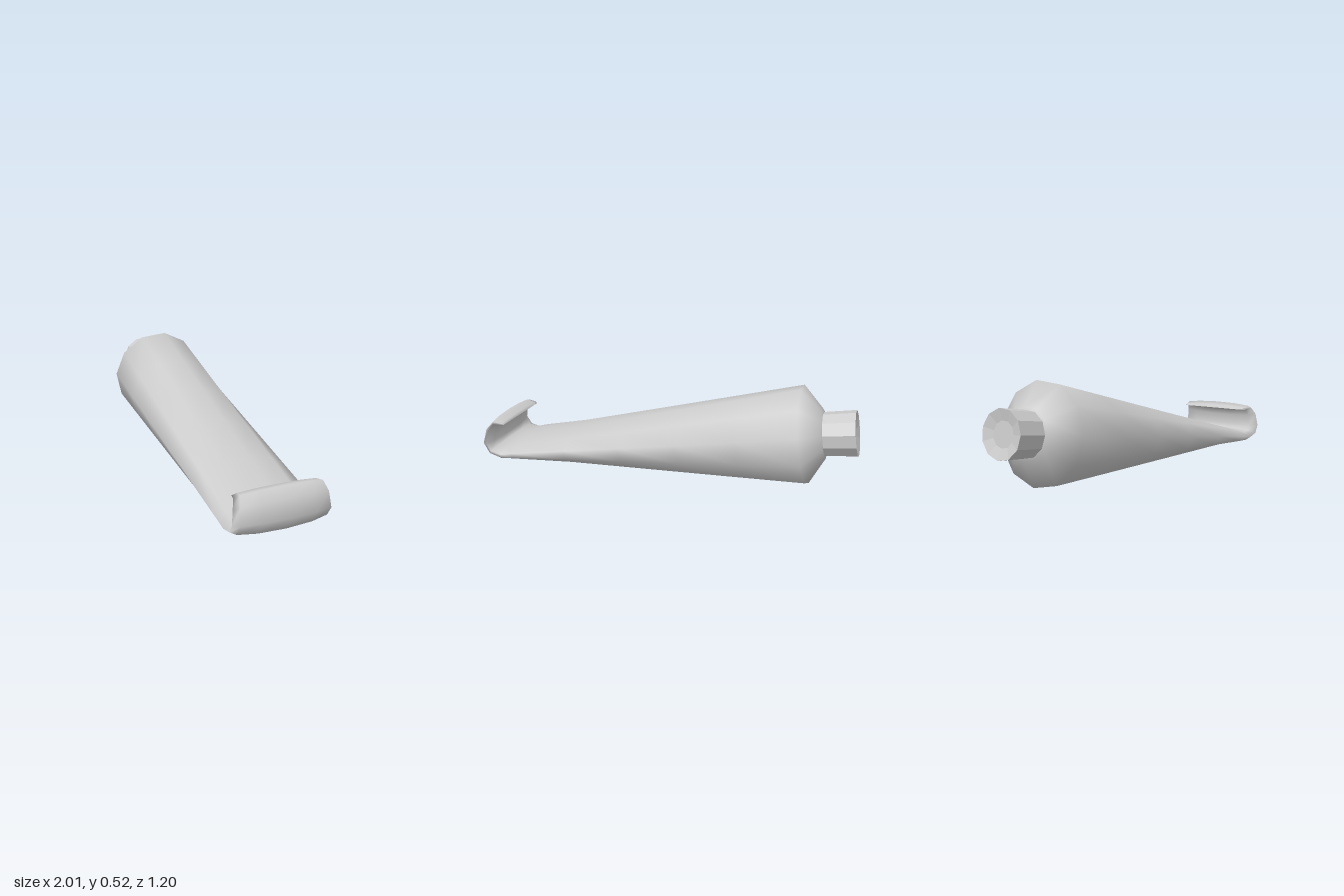
import * as THREE from 'three';

const SIDES = 11;
const TILT = -0.13;      // the tube's axis slopes gently down towards its tail
const PHASE = 0.2;       // turn of the polygonal section

// Lofts elliptical rings along x. Each ring: [x, y, path angle, half thickness, half width]
function loft(name, rings, flatShading) {
  const pos = [], index = [];
  for (const [x, y, a, h, w] of rings) {
    for (let k = 0; k < SIDES; k++) {
      const t = PHASE + (k / SIDES) * Math.PI * 2;
      const up = h * Math.cos(t);
      pos.push(x - up * Math.sin(a), y + up * Math.cos(a), -0.033 - w * Math.sin(t));
    }
  }
  for (let i = 0; i < rings.length - 1; i++) {
    for (let k = 0; k < SIDES; k++) {
      const a = i * SIDES + k, b = i * SIDES + (k + 1) % SIDES;
      index.push(a, a + SIDES, b, b, a + SIDES, b + SIDES);
    }
  }
  let geo = new THREE.BufferGeometry();
  geo.setAttribute('position', new THREE.Float32BufferAttribute(pos, 3));
  geo.setIndex(index);
  if (flatShading) geo = geo.toNonIndexed();
  geo.computeVertexNormals();
  const mesh = new THREE.Mesh(geo, new THREE.MeshStandardMaterial({ color: 0xcccccc, flatShading }));
  mesh.name = name;
  return mesh;
}

// Round ring square to the sloping axis
const round = (x, r) => [x, 0.267 - (x + 0.795) * 0.133, TILT, r, r];

export function createModel() {
  const group = new THREE.Group();
  group.name = 'squeezeTube';

  // Body: shoulder, then a straight run from round to flat
  const rings = [round(-0.9, 0.08), round(-0.892, 0.13), round(-0.795, 0.264)];
  const steps = 5;
  for (let i = 1; i <= steps; i++) {
    const t = i / steps, mix = (a, b) => a + (b - a) * t;
    rings.push([mix(-0.795, 0.8), mix(0.267, 0.055), mix(TILT, 0), mix(0.264, 0.055), 0.264]);
  }
  // Tail curled up and back over itself, thinning to a lip
  const deg = Math.PI / 180;
  rings.push(
    [0.87, 0.045, 8 * deg, 0.042, 0.264],
    [0.935, 0.062, 40 * deg, 0.036, 0.264],
    [0.965, 0.11, 88 * deg, 0.034, 0.264],
    [0.95, 0.185, 122 * deg, 0.03, 0.255],
    [0.92, 0.226, 158 * deg, 0.023, 0.24],
    [0.875, 0.219, 192 * deg, 0.012, 0.228],
    [0.866, 0.215, 198 * deg, 0, 0.22],
  );
  group.add(loft('tubeBody', rings, false));

  // Faceted cap with a shallow dished end
  group.add(loft('cap', [
    round(-1.045, 0), round(-1.045, 0.065), round(-1.06, 0.122),
    round(-0.87, 0.116), round(-0.87, 0),
  ], true));

  group.rotation.y = -0.428;
  const root = new THREE.Group();
  root.add(group);
  return root;
}
